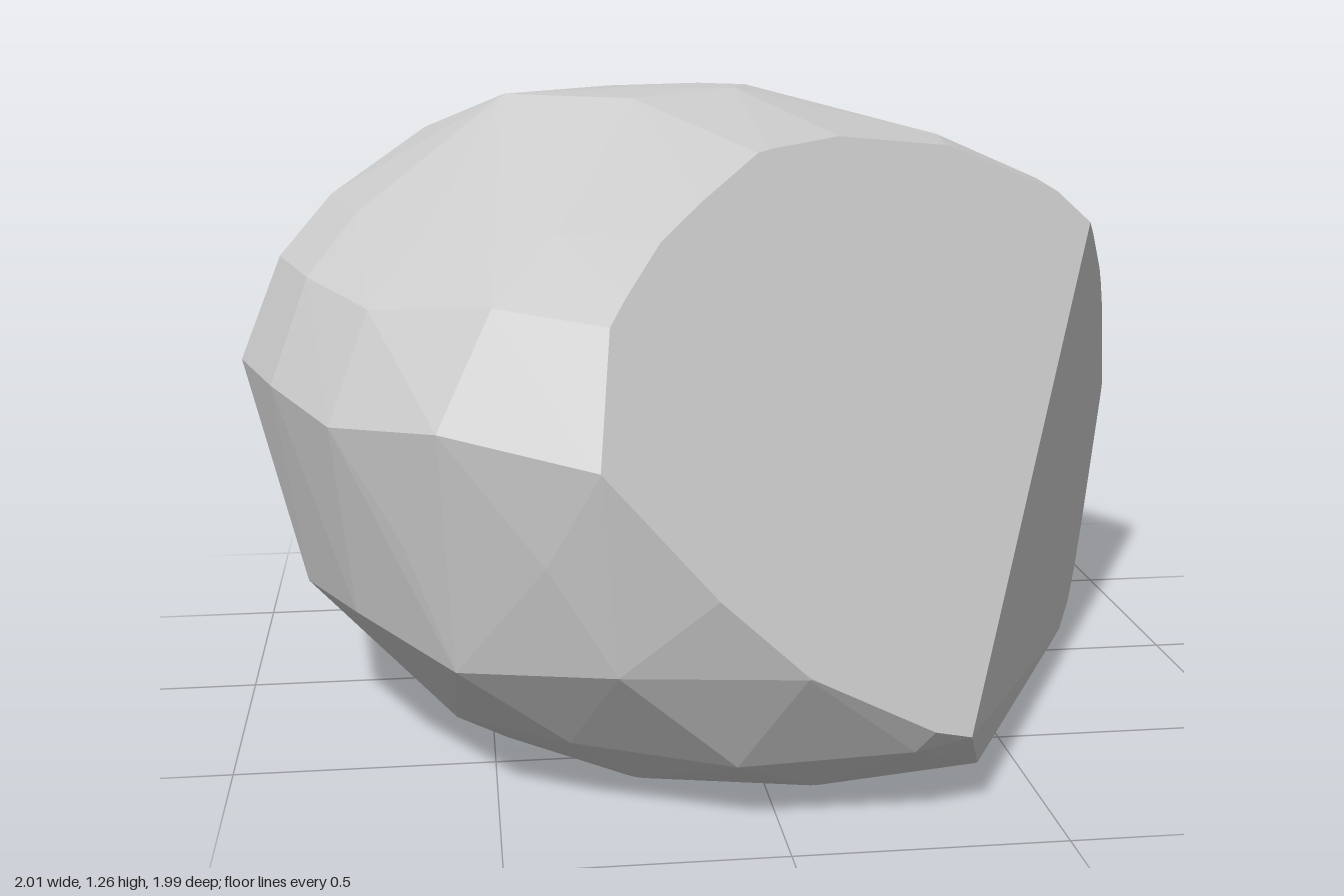
import * as THREE from 'three';
import { ConvexGeometry } from 'three/addons/geometries/ConvexGeometry.js';

const material = new THREE.MeshStandardMaterial({ color: 0xcccccc, flatShading: true });

// Plan outline of the uncut boulder: radius every 22.5 degrees, from the front round by its left
const OUTLINE = [1.03, 1.05, 1.07, 1.09, 1.09, 1.1, 1.075, 1.0, 1.01, 1.0, 1.065, 1.05, 1.0, 0.965, 1.005, 1.03];

// Level rings: height, centre x, centre z, size relative to the outline
const RINGS = [
  [0.03, 0.08, 0.08, 0.67], [0.12, 0.08, 0.08, 0.79], [0.3, 0.03, 0.05, 0.92],
  [0.5, 0.05, 0.0, 0.99], [0.71, -0.005, 0.01, 0.99], [0.91, -0.04, -0.07, 0.88],
  [1.02, -0.06, -0.13, 0.74], [1.13, -0.09, -0.2, 0.54],
  [1.23, -0.19, -0.19, 0.3], [1.26, -0.02, -0.09, 0.09],
];

function outlineRadius(turn) {
  const f = turn * OUTLINE.length, i = Math.floor(f);
  return THREE.MathUtils.lerp(OUTLINE[i % 16], OUTLINE[(i + 1) % 16], f - i);
}

function boulderPoints() {
  const points = [];
  RINGS.forEach(([y, cx, cz, size], ring) => {
    const n = Math.max(5, Math.round(size * 20));
    for (let i = 0; i < n; i++) {
      const turn = (i + (ring % 2) / 2) / n, a = turn * Math.PI * 2;
      const radius = size * (outlineRadius(turn) + 0.008 * Math.sin(i * 5.3 + ring * 2.1));
      const lift = ring > 0 && size > 0.2 ? 0.02 * Math.sin(i * 3.7 + ring) : 0;
      points.push(new THREE.Vector3(cx + Math.sin(a) * radius, y + lift, cz + Math.cos(a) * radius));
    }
  });
  return points;
}

// Cut a convex solid with a plane, keeping the side its normal points away from
function cut(points, plane) {
  const position = new ConvexGeometry(points).getAttribute('position');
  const kept = new Map();
  const keep = (p) => kept.set(p.toArray().map((v) => v.toFixed(4)).join(), p);
  const corner = (i) => new THREE.Vector3().fromBufferAttribute(position, i);
  for (let t = 0; t < position.count; t += 3) {
    for (let k = 0; k < 3; k++) {
      const p = corner(t + k), q = corner(t + ((k + 1) % 3));
      const dp = plane.distanceToPoint(p), dq = plane.distanceToPoint(q);
      if (dp <= 0) keep(p);
      if (dp * dq < 0) keep(p.clone().lerp(q, dp / (dp - dq)));
    }
  }
  return [...kept.values()];
}

function planeFrom(x, y, z, d) {
  return new THREE.Plane(new THREE.Vector3(x, y, z), -d).normalize();
}

export function createModel() {
  const group = new THREE.Group();
  group.name = 'boulder';

  // Faceted body with a sloping front cut, an upright side cut and a flat base
  const cuts = [
    planeFrom(0.366, 0.36, 0.448, 0.572),
    planeFrom(0.9, -0.015, 0.43, 0.687),
    planeFrom(0, -1, 0, -0.035),
  ];
  const body = new THREE.Mesh(new ConvexGeometry(cuts.reduce(cut, boulderPoints())), material);
  body.name = 'rockBody';
  group.add(body);

  // Small knobs standing out of the base: x, z, lowest height, half width, half depth
  [[-0.34, 0.13, 0.01, 0.12, 0.08], [0.05, -0.15, 0, 0.13, 0.11]].forEach(([x, z, low, w, d]) => {
    const corners = [[w, 0], [0, d], [-w, 0], [0, -d]].map(
      ([dx, dz]) => new THREE.Vector3(x + dx, 0.04, z + dz));
    const knob = new THREE.Mesh(new ConvexGeometry([...corners, new THREE.Vector3(x, low, z)]), material);
    knob.name = 'baseKnob';
    group.add(knob);
  });

  return group;
}
